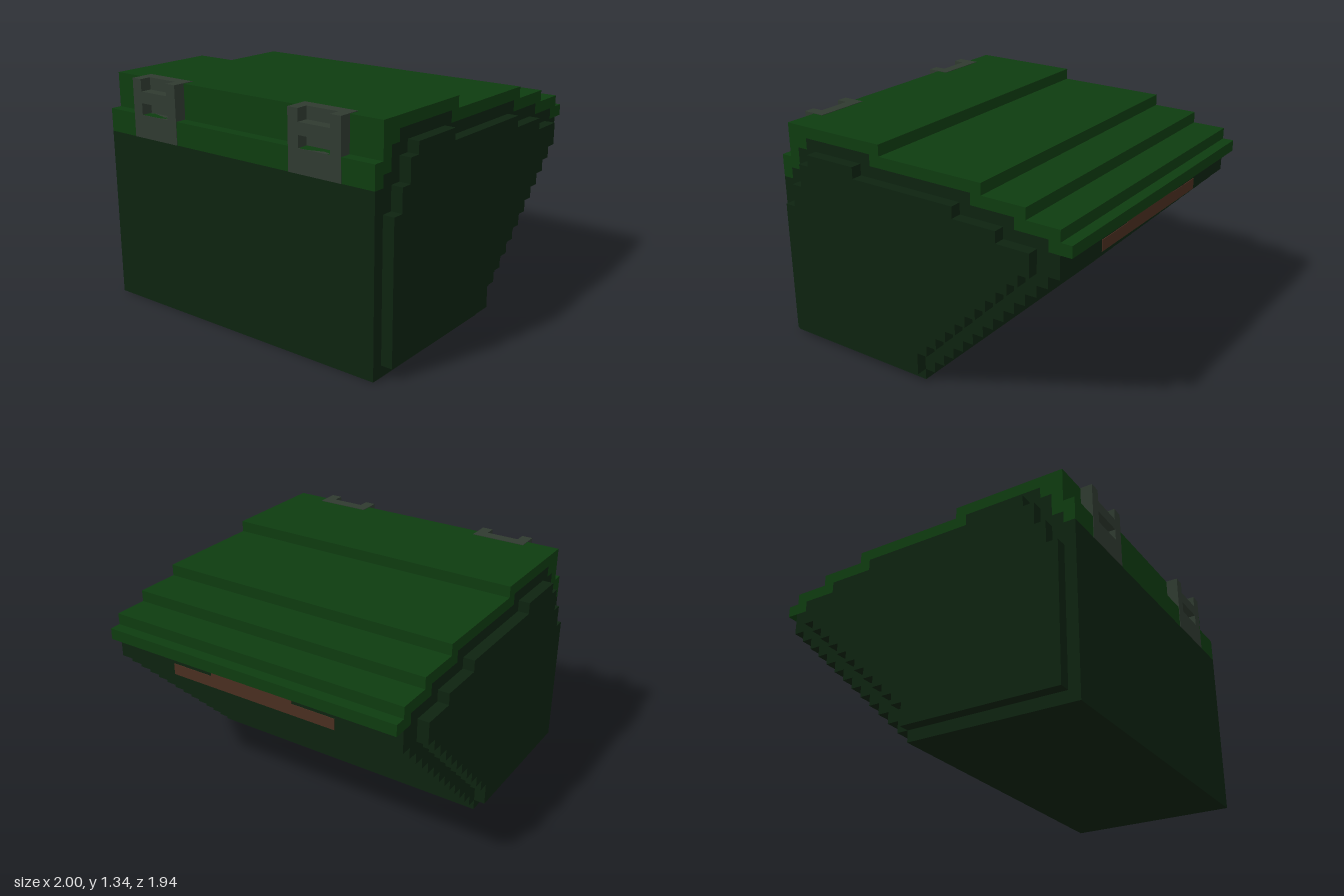
import * as THREE from 'three';

const U = 1 / 15; // one block

function material(name, color) {
  const m = new THREE.MeshStandardMaterial({ color });
  m.name = name;
  return m;
}

// Stepped line running backwards: each tread [z, y] continues at height y until z
function treads(startZ, list) {
  const points = [];
  let z = startZ;
  for (const [endZ, y] of list) {
    points.push([z, y], [endZ, y]);
    z = endZ;
  }
  return points;
}

// Staircase under the sloping back, from height top down to height bottom
function slope(top, bottom, offset) {
  const points = [];
  for (let y = top; y >= bottom; y--) points.push([offset - y, y], [offset - y + 1, y]);
  return points;
}

// Extrude a (z, y) outline sideways from x0 to x1
function slab(name, outline, x0, x1, mat) {
  const shape = new THREE.Shape(outline.map(([z, y]) => new THREE.Vector2(-z * U, y * U)));
  const geometry = new THREE.ExtrudeGeometry(shape, { depth: (x1 - x0) * U, bevelEnabled: false });
  geometry.rotateY(Math.PI / 2).translate(x0 * U, 0, 0);
  const mesh = new THREE.Mesh(geometry, mat);
  mesh.name = name;
  return mesh;
}

// Box between two corners, in blocks
function block(name, [x0, y0, z0], [x1, y1, z1], mat) {
  const geometry = new THREE.BoxGeometry((x1 - x0) * U, (y1 - y0) * U, (z1 - z0) * U);
  geometry.translate((x0 + x1) / 2 * U, (y0 + y1) / 2 * U, (z0 + z1) / 2 * U);
  const mesh = new THREE.Mesh(geometry, mat);
  mesh.name = name;
  return mesh;
}

export function createModel() {
  const model = new THREE.Group();
  model.name = 'steppedBasket';
  const lidGreen = material('lid green', 0x0e3c10);
  const bodyGreen = material('dark body green', 0x0d2310);
  const grey = material('clip grey', 0x2f3a30);
  const brown = material('handle brown', 0x4a2e20);

  // Main body with stepped sloping back
  const bodyTop = treads(14.5, [
    [13.5, 15], [12.5, 16], [11.5, 18], [4.5, 19], [-5.5, 18], [-9.5, 17], [-12.5, 16], [-13.5, 15],
  ]);
  const body = [[14.5, 0], ...bodyTop, ...slope(13, 1, -0.5), [-0.5, 0]];
  model.add(slab('body', body, -14, 14, bodyGreen));

  // Raised side panels, inset from the body's outline
  const panelTop = treads(13.5, [
    [12.5, 13], [11.5, 15], [10.5, 17], [5.5, 18], [-4.5, 17], [-8.5, 16], [-11.5, 15],
  ]);
  const panel = [[13.5, 1], ...panelTop, ...slope(13, 3, 1.5), [-0.5, 1]];
  model.add(slab('leftSidePanel', panel, 14, 15, bodyGreen));
  model.add(slab('rightSidePanel', panel, -15, -14, bodyGreen));

  // Stepped lid lying on the body
  const lidTop = treads(14.5, [
    [13.5, 17], [3.5, 20], [-6.5, 19], [-10.5, 18], [-13.5, 17], [-14.5, 16],
  ]);
  const lid = [...lidTop, [-14.5, 15], ...[...bodyTop].reverse()];
  model.add(slab('lid', lid, -14, 14, lidGreen));

  // Front clips: plate, base, two posts and a crossbar
  const e = 0.04; // lifts the clip just clear of the lid
  for (const [name, x] of [['leftClip', 8.5], ['rightClip', -8.5]]) {
    const clip = new THREE.Group();
    clip.name = name;
    clip.add(
      block('clipPlate', [x - 2.5, 15, 12.5], [x + 2.5, 20 + e, 13.5 + e], grey),
      block('clipBase', [x - 2.5, 15, 13.5], [x + 2.5, 17, 14.5 + e], grey),
      block('clipCrossbar', [x - 1.5, 18, 13.5], [x + 1.5, 19, 14.5 + e], grey),
    );
    for (const s of [-1, 1]) {
      const px = x + s * 2;
      clip.add(block('clipPost', [px - 0.5, 17, 13.5], [px + 0.5, 20 + e, 14.5 + e], grey));
    }
    model.add(clip);
  }

  // Flat handle on the back, taller in the middle
  const handle = new THREE.Group();
  handle.name = 'handle';
  handle.add(
    block('handleBar', [-8, 13, -13.55], [8, 14, -13.45], brown),
    block('handleCentre', [-4, 14, -13.55], [4, 15, -13.45], brown),
  );
  model.add(handle);

  return model;
}
